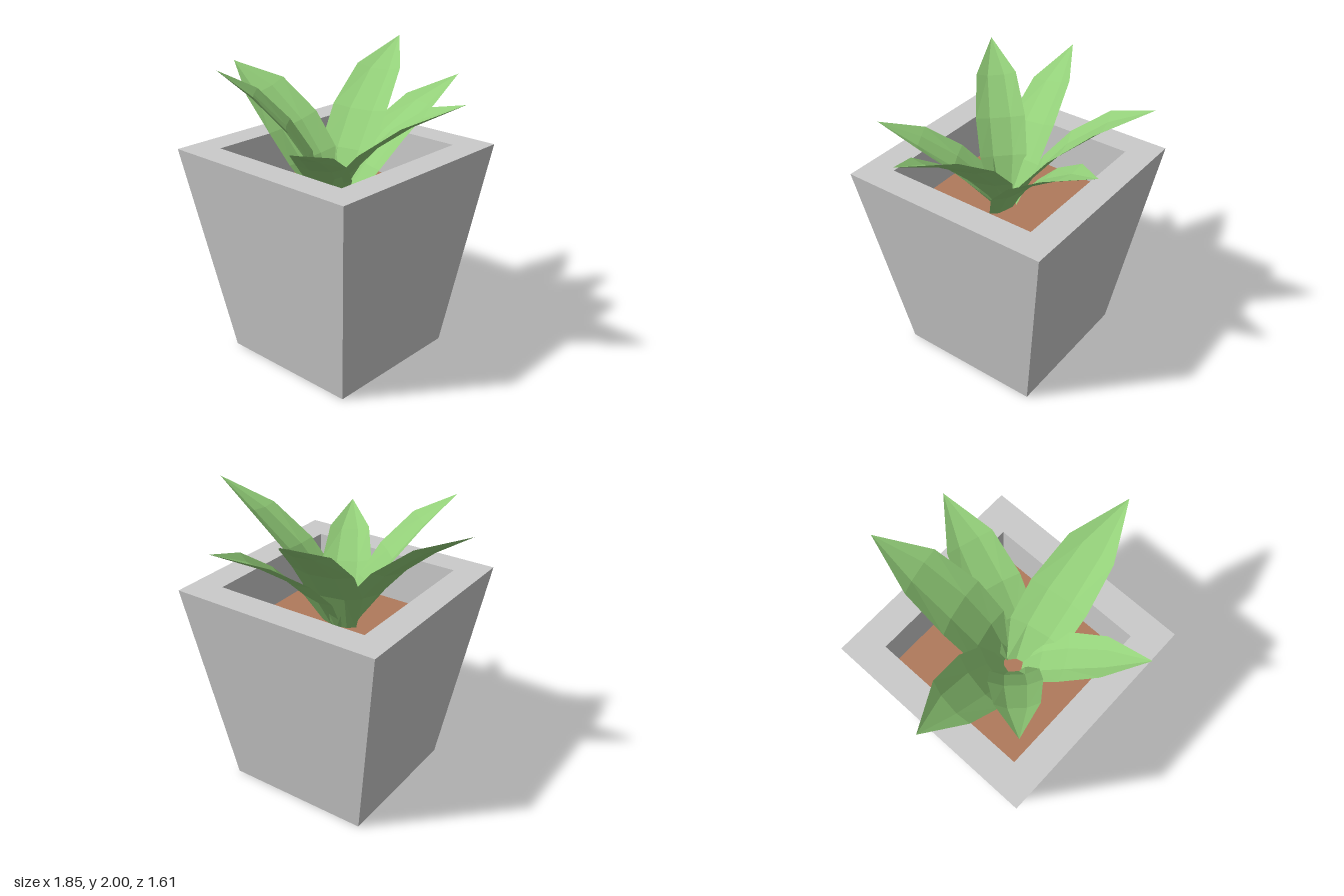
import * as THREE from 'three';

const POT = { x: -0.08, z: 0.05, height: 1.435, foot: 0.5, rim: 0.717, hole: 0.527, soil: 1.1 };

const potMaterial = new THREE.MeshStandardMaterial({ color: 0xcccccc, flatShading: true });
const soilMaterial = new THREE.MeshStandardMaterial({ color: 0xb07a5c, flatShading: true });
const leafMaterial = new THREE.MeshStandardMaterial({ color: 0x93cf79, flatShading: true, side: THREE.DoubleSide });

// Shared leaf profile: [run fraction, rise fraction, half width]
const PROFILE = [
  [0, 0, 0.09],
  [0.17, 0.33, 0.185],
  [0.37, 0.58, 0.195],
  [0.66, 0.83, 0.157],
];
// Cross-section: [position across, height of the cupped edge]
const SECTION = [[-1, 0], [-0.42, -0.03], [0.42, -0.03], [1, 0]];

function facet(geometry) {
  const flat = geometry.index ? geometry.toNonIndexed() : geometry;
  flat.computeVertexNormals();
  return flat;
}

// A cupped, pointed leaf arching from the soil to its tip
function makeLeaf({ name, root, tip, width = 1, roll = 0 }) {
  const start = new THREE.Vector3(root[0], POT.soil - 0.01, root[1]);
  const end = new THREE.Vector3(...tip);
  const span = end.clone().sub(start);
  const across = new THREE.Vector3(span.z, 0, -span.x).normalize();
  const spine = [...PROFILE, [1, 1, 0]].map(([run, rise]) =>
    new THREE.Vector3(start.x + span.x * run, start.y + span.y * rise, start.z + span.z * run));

  const positions = [];
  PROFILE.forEach(([, , half], i) => {
    const tangent = spine[i + 1].clone().sub(spine[Math.max(i - 1, 0)]).normalize();
    const normal = tangent.clone().cross(across);
    const side = across.clone().applyAxisAngle(tangent, roll);
    normal.applyAxisAngle(tangent, roll);
    for (const [u, lift] of SECTION) {
      const p = spine[i].clone().addScaledVector(side, u * half * width).addScaledVector(normal, lift);
      positions.push(p.x, p.y, p.z);
    }
  });
  positions.push(...tip);

  const n = SECTION.length;
  const last = PROFILE.length - 1;
  const index = [];
  for (let i = 0; i <= last; i++) {
    for (let j = 0; j < n - 1; j++) {
      const a = i * n + j;
      if (i === last) index.push(a, n * PROFILE.length, a + 1);
      else index.push(a, a + n, a + 1, a + 1, a + n, a + n + 1);
    }
  }
  const geometry = new THREE.BufferGeometry();
  geometry.setAttribute('position', new THREE.Float32BufferAttribute(positions, 3));
  geometry.setIndex(index);
  const mesh = new THREE.Mesh(facet(geometry), leafMaterial);
  mesh.name = name;
  return mesh;
}

export function createModel() {
  const model = new THREE.Group();
  model.name = 'pottedPlant';

  // Square tapered pot with a thick rim and a straight-sided opening
  const outline = [
    [0, 0], [POT.foot, 0], [POT.rim, POT.height], [POT.hole, POT.height], [POT.hole, POT.soil],
  ].map(([r, y]) => new THREE.Vector2(r * Math.SQRT2, y));
  const pot = new THREE.Mesh(facet(new THREE.LatheGeometry(outline, 4, Math.PI / 4)), potMaterial);
  pot.name = 'pot';
  pot.position.set(POT.x, 0, POT.z);
  model.add(pot);

  // Soil surface
  const soil = new THREE.Mesh(
    new THREE.PlaneGeometry(POT.hole * 2, POT.hole * 2).rotateX(-Math.PI / 2), soilMaterial);
  soil.name = 'soil';
  soil.position.set(POT.x, POT.soil, POT.z);
  model.add(soil);

  // Rosette of six leaves
  const leaves = new THREE.Group();
  leaves.name = 'leaves';
  [
    { name: 'backRightLeaf', root: [-0.09, 0.07], tip: [-0.285, 2.0, -0.81], width: 1.03 },
    { name: 'backLeftLeaf', root: [0.0, 0.08], tip: [0.25, 1.815, -0.78] },
    { name: 'leftLeaf', root: [-0.07, 0.13], tip: [0.925, 1.905, 0.09], width: 1.03, roll: 0.2 },
    { name: 'frontLeftLeaf', root: [-0.07, 0.1], tip: [0.33, 1.655, 0.8], width: 0.84 },
    { name: 'frontRightLeaf', root: [-0.09, 0.1], tip: [-0.585, 1.945, 0.59], width: 0.83 },
    { name: 'rightLeaf', root: [-0.1, 0.1], tip: [-0.925, 1.885, 0.16], roll: -0.3 },
  ].forEach((spec) => leaves.add(makeLeaf(spec)));
  model.add(leaves);

  return model;
}
